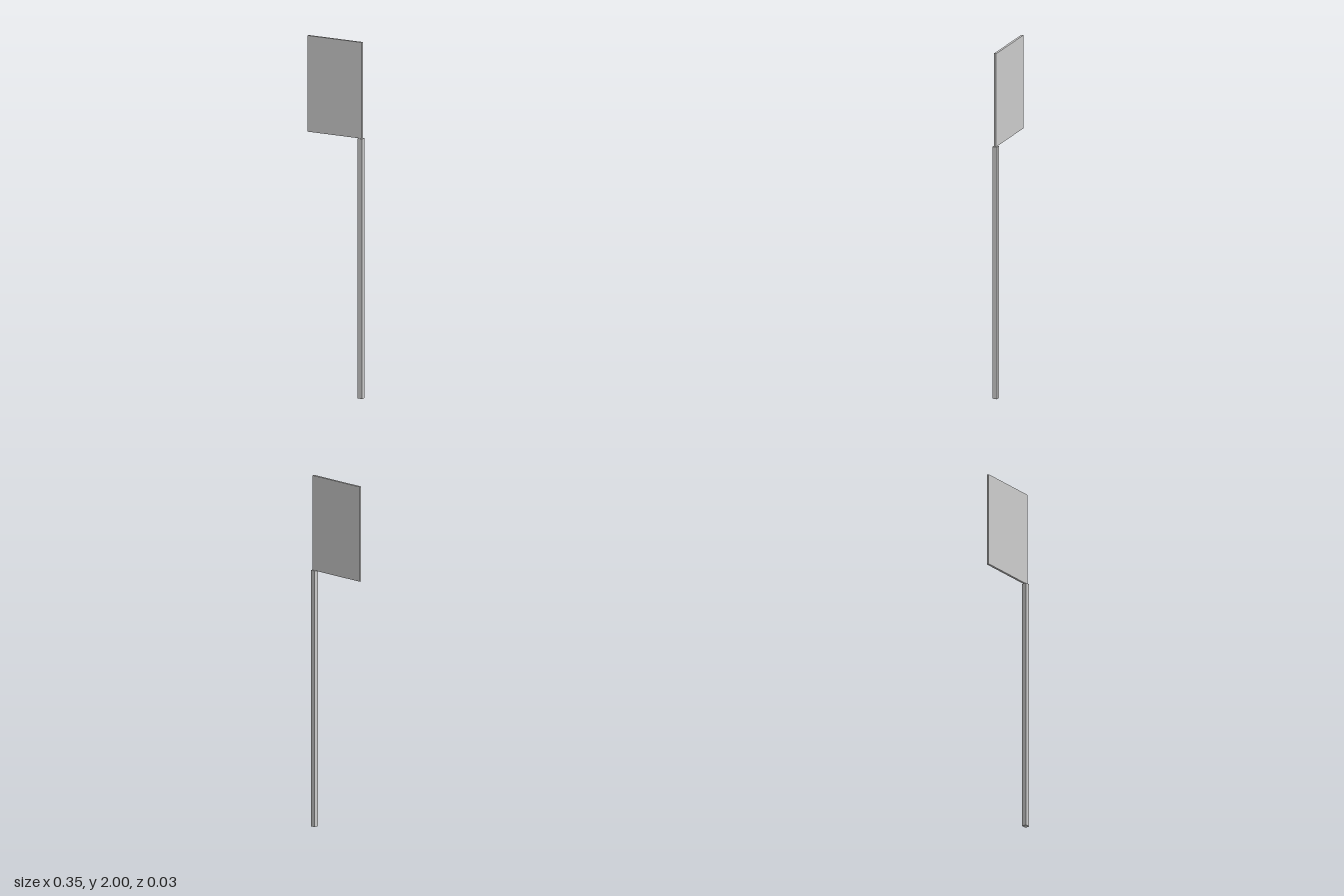
import * as THREE from 'three';

export function createModel() {
  const group = new THREE.Group();
  const material = new THREE.MeshStandardMaterial({ color: 0xcccccc, flatShading: true });

  // Box given by its lower and upper corners
  const addBox = (name, [x0, y0, z0], [x1, y1, z1]) => {
    const mesh = new THREE.Mesh(new THREE.BoxGeometry(x1 - x0, y1 - y0, z1 - z0), material);
    mesh.position.set((x0 + x1) / 2, (y0 + y1) / 2, (z0 + z1) / 2);
    mesh.name = name;
    group.add(mesh);
  };

  // Square post
  addBox('post', [0.146, 0, -0.0135], [0.174, 1.46, 0.0135]);
  // Thin panel standing on the post, reaching out to one side
  addBox('signPanel', [-0.174, 1.46, -0.0065], [0.167, 2, 0.0065]);

  return group;
}
